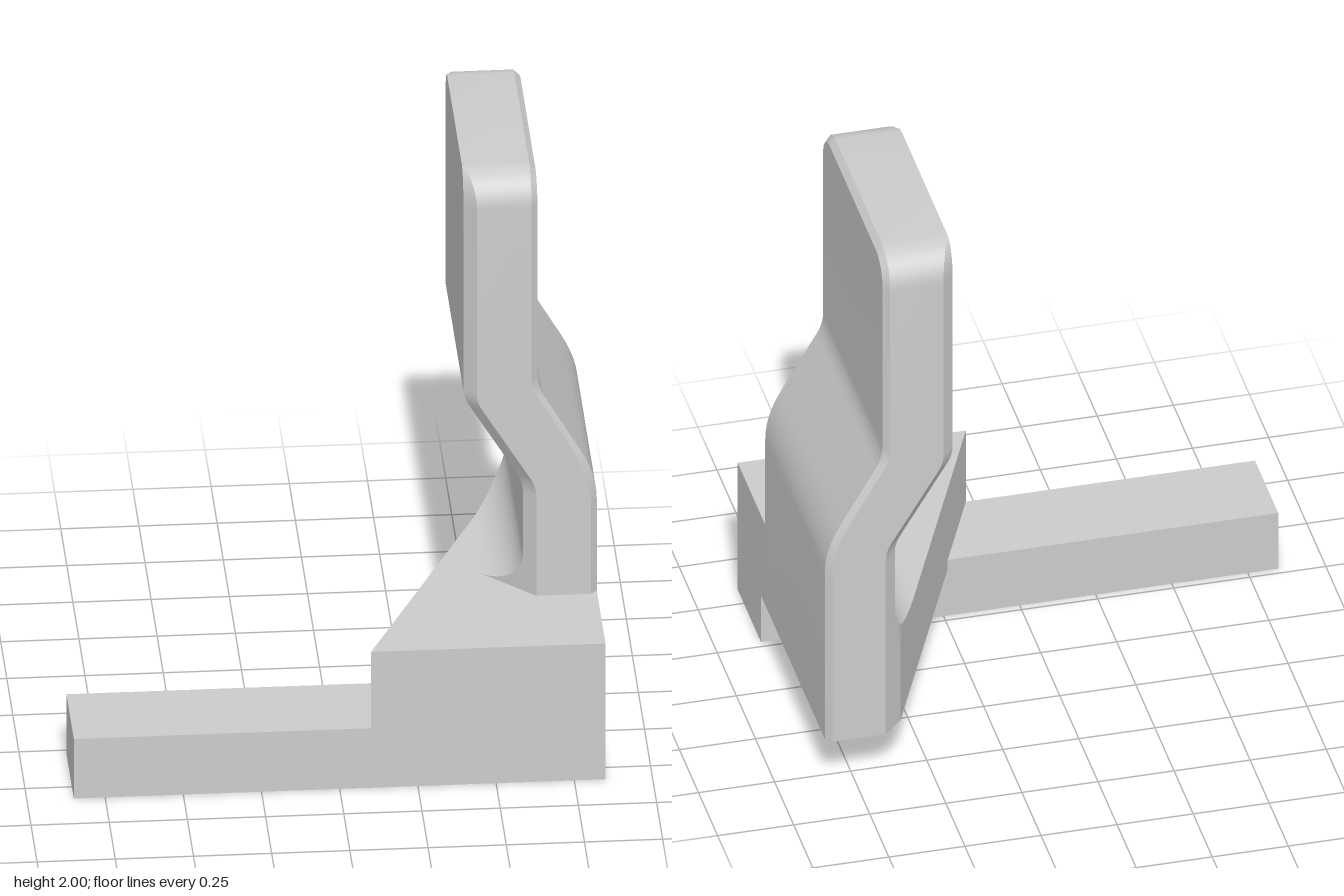
import * as THREE from 'three';
import { toCreasedNormals } from 'three/addons/utils/BufferGeometryUtils.js';

// Skin a list of closed convex rings of [x, y, z], capped at both ends.
function loft(rings) {
  const pos = [];
  const n = rings[0].length;
  const tri = (...corners) => {
    const v = corners.map((p) => new THREE.Vector3(...p));
    if (new THREE.Triangle(...v).getArea() > 1e-8) corners.forEach((p) => pos.push(...p));
  };
  for (let r = 0; r < rings.length - 1; r++) {
    for (let i = 0; i < n; i++) {
      const j = (i + 1) % n, lo = rings[r], hi = rings[r + 1];
      tri(lo[i], lo[j], hi[j]);
      tri(lo[i], hi[j], hi[i]);
    }
  }
  const first = rings[0], last = rings[rings.length - 1];
  for (let i = 1; i < n - 1; i++) {
    tri(first[0], first[i + 1], first[i]);
    tri(last[0], last[i], last[i + 1]);
  }
  const geo = new THREE.BufferGeometry();
  geo.setAttribute('position', new THREE.Float32BufferAttribute(pos, 3));
  return toCreasedNormals(geo, 0.5);
}

// Slope that eases in between a and b, then stays constant.
const ramp = (y, a, b) => (y < a ? 0 : y > b ? y - (a + b) / 2 : (y - a) ** 2 / (2 * (b - a)));

// Offset face: straight, leaning inward between the two bends, straight again.
function face(x0, x1, [a, b], [c, d]) {
  const slope = (x0 - x1) / ((c + d - a - b) / 2);
  return (y) => x0 - slope * (ramp(y, a, b) - ramp(y, c, d));
}

function plateGeometry() {
  const bends = { inner: [[0.85, 0.915], [1.165, 1.225]], outer: [[0.82, 1.0], [1.2, 1.275]] };
  const xi = face(0.615, 0.425, ...bends.inner);
  const xo = face(0.85, 0.66, ...bends.outer);
  const zc = -0.17, flat = 0.3, R = 0.11, top = 2, yArc = top - R, inC = 0.04, outC = 0.02;

  // Eight-sided section: wide chamfers on the inner face, narrow on the outer.
  const ring = (a, y0, closed = false) => {
    const cos = Math.cos(a), sin = Math.sin(a);
    const y = y0 + R * sin, yOut = closed ? y : y0 + (R - outC) * sin;
    const w = flat + R * cos, c = inC * cos, wOut = flat + (R - outC) * cos;
    const half = [
      [xi(y), y, w - c],
      [xi(y) + c, y, w],
      [xo(y) - outC, y, w],
      [xo(y) - (closed ? outC : 0), yOut, wOut],
    ];
    return [
      ...half.map(([x, h, z]) => [x, h, zc + z]),
      ...half.reverse().map(([x, h, z]) => [x, h, zc - z]),
    ];
  };

  const levels = new Set([0.18]);
  for (const [a, b] of [...bends.inner, ...bends.outer]) {
    for (let i = 0; i <= 6; i++) levels.add(a + ((b - a) * i) / 6);
  }
  const rings = [...levels].sort((p, q) => p - q).map((y) => ring(0, y));
  for (let i = 0; i <= 12; i++) rings.push(ring((i / 12) * Math.PI / 2, yArc));
  rings.push(ring(Math.PI / 2, yArc, true));
  return loft(rings);
}

// Concave fillet between block and plate, mitred at both ends.
function filletGeometry() {
  const r = 0.135, x0 = 0.615 - r, yTop = 0.49;
  const rings = [];
  for (let i = 0; i <= 14; i++) {
    const a = (i / 14) * Math.PI / 2;
    const x = x0 + r * Math.sin(a), y = yTop + r * (1 - Math.cos(a));
    const zf = 0.2 + x - 0.615;
    const zb = Math.max(0.58 - (x - 0.1) / 0.4475, -0.54 + 0.615 - x);
    rings.push([[x, 0.47, zb], [x, y, zb], [x, y, zf], [x, 0.47, zf]]);
  }
  return loft(rings);
}

// Flat slab cut to a plan outline of [x, z] points.
function slab(plan, y0, y1) {
  const shape = new THREE.Shape(plan.map(([x, z]) => new THREE.Vector2(x, -z)));
  const geo = new THREE.ExtrudeGeometry(shape, { depth: y1 - y0, bevelEnabled: false });
  return geo.rotateX(-Math.PI / 2).translate(0, y0, 0);
}

export function createModel() {
  const group = new THREE.Group();
  const material = new THREE.MeshStandardMaterial({ color: 0xcccccc });
  const add = (name, geometry) => {
    const mesh = new THREE.Mesh(geometry, material);
    mesh.name = name;
    group.add(mesh);
  };

  // Long bar along the front
  add('frontBar', new THREE.BoxGeometry(1.7, 0.215, 0.305).translate(0, 0.1075, 0.4275));

  // Wedge-shaped block over the bar, tapering back under the plate
  add('wedgeBlock', slab([
    [0.1, 0.58], [0.85, 0.58], [0.85, 0.2], [0.75, 0.2],
    [0.75, -0.575], [0.65, -0.575], [0.59, -0.515],
  ], 0.18, 0.49));

  // Upright cranked plate
  add('crankedPlate', plateGeometry());
  add('plateFillet', filletGeometry());
  return group;
}
